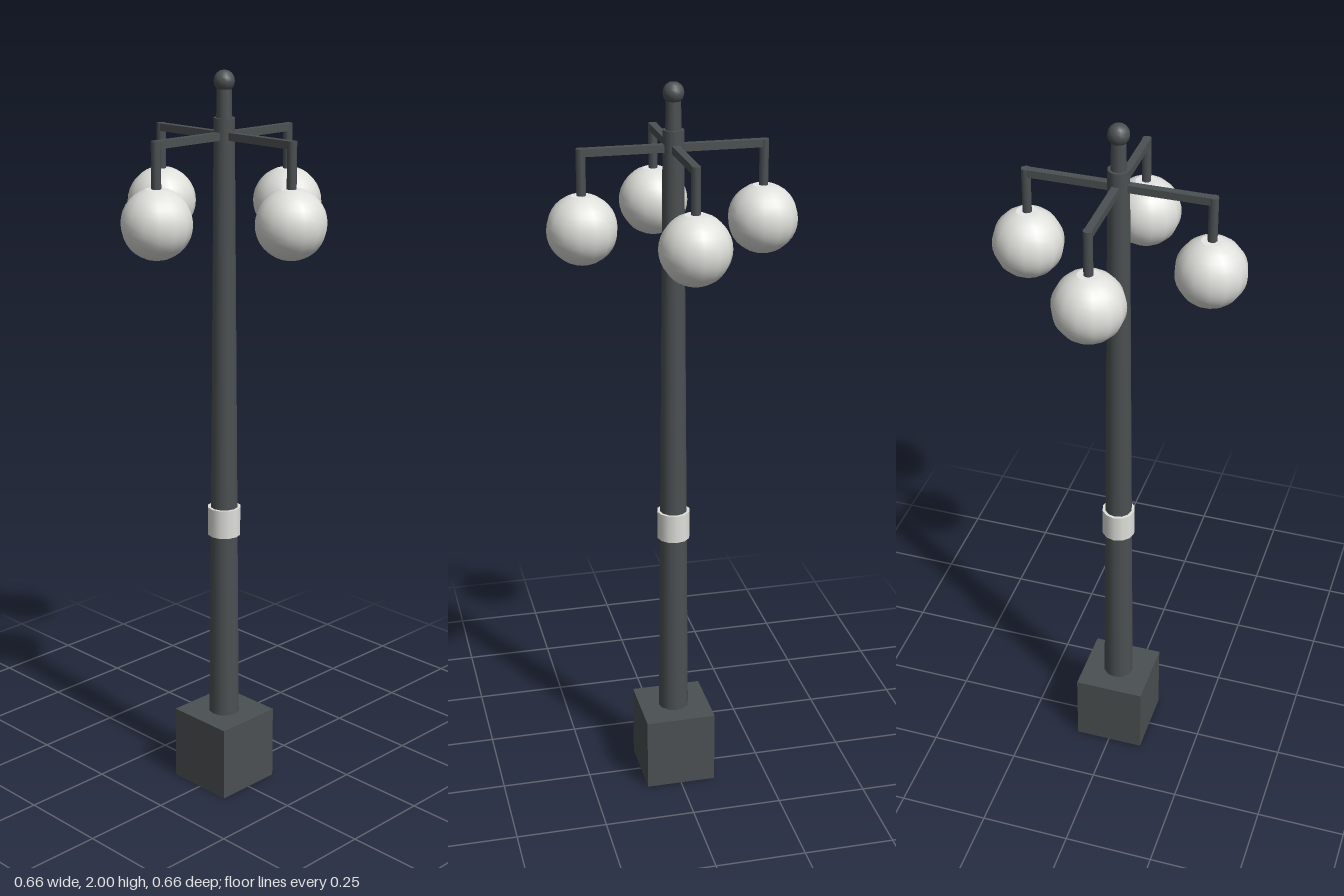
import * as THREE from 'three';

const paint = (name, color) => Object.assign(new THREE.MeshStandardMaterial({ color }), { name });

export function createModel() {
  const iron = paint('dark iron', 0x4b5052);
  const glass = paint('pale glass', 0xdfdfdb);
  const white = paint('bright white', 0xffffff);
  const model = new THREE.Group();
  model.name = 'streetLamp';

  const add = (parent, name, geometry, material, x = 0, y = 0, z = 0) => {
    const mesh = new THREE.Mesh(geometry, material);
    mesh.name = name;
    mesh.position.set(x, y, z);
    parent.add(mesh);
    return mesh;
  };
  // upright tapered tube between two heights
  const post = (parent, name, bottom, top, rBottom, rTop, sides, material, x = 0) =>
    add(parent, name, new THREE.CylinderGeometry(rTop, rBottom, top - bottom, sides),
      material, x, (top + bottom) / 2);

  // base and column
  add(model, 'base', new THREE.BoxGeometry(0.196, 0.21, 0.196), iron, 0, 0.105, 0);
  post(model, 'pole', 0.2, 1.88, 0.043, 0.028, 12, iron);
  post(model, 'band', 0.745, 0.825, 0.0455, 0.0455, 12, glass);
  post(model, 'finialStem', 1.87, 1.965, 0.021, 0.019, 10, iron);
  add(model, 'finialBall', new THREE.SphereGeometry(0.028, 12, 8), iron, 0, 1.972, 0);

  // four arms, each with a drop rod and a truncated globe
  const reach = 0.238, radius = 0.092, cut = 0.31, globeY = 1.637;
  const capRadius = radius * Math.sin(cut), capHeight = radius * Math.cos(cut);
  const globeShape = new THREE.SphereGeometry(radius, 14, 14, 0, Math.PI * 2, cut, Math.PI - 2 * cut);
  const capShape = new THREE.CircleGeometry(capRadius, 14);
  for (let i = 0; i < 4; i++) {
    const lamp = new THREE.Group();
    lamp.name = 'lampArm' + (i + 1);
    lamp.rotation.y = i * Math.PI / 2;
    add(lamp, 'arm', new THREE.BoxGeometry(reach + 0.008, 0.02, 0.02), iron, reach / 2, 1.834, 0);
    post(lamp, 'dropRod', globeY + capHeight - 0.01, 1.844, 0.0125, 0.0125, 8, iron, reach);
    add(lamp, 'globe', globeShape, glass, reach, globeY, 0);
    add(lamp, 'globeTop', capShape, white, reach, globeY + capHeight, 0).rotation.x = -Math.PI / 2;
    add(lamp, 'globeBottom', capShape, white, reach, globeY - capHeight, 0).rotation.x = Math.PI / 2;
    model.add(lamp);
  }
  return model;
}
